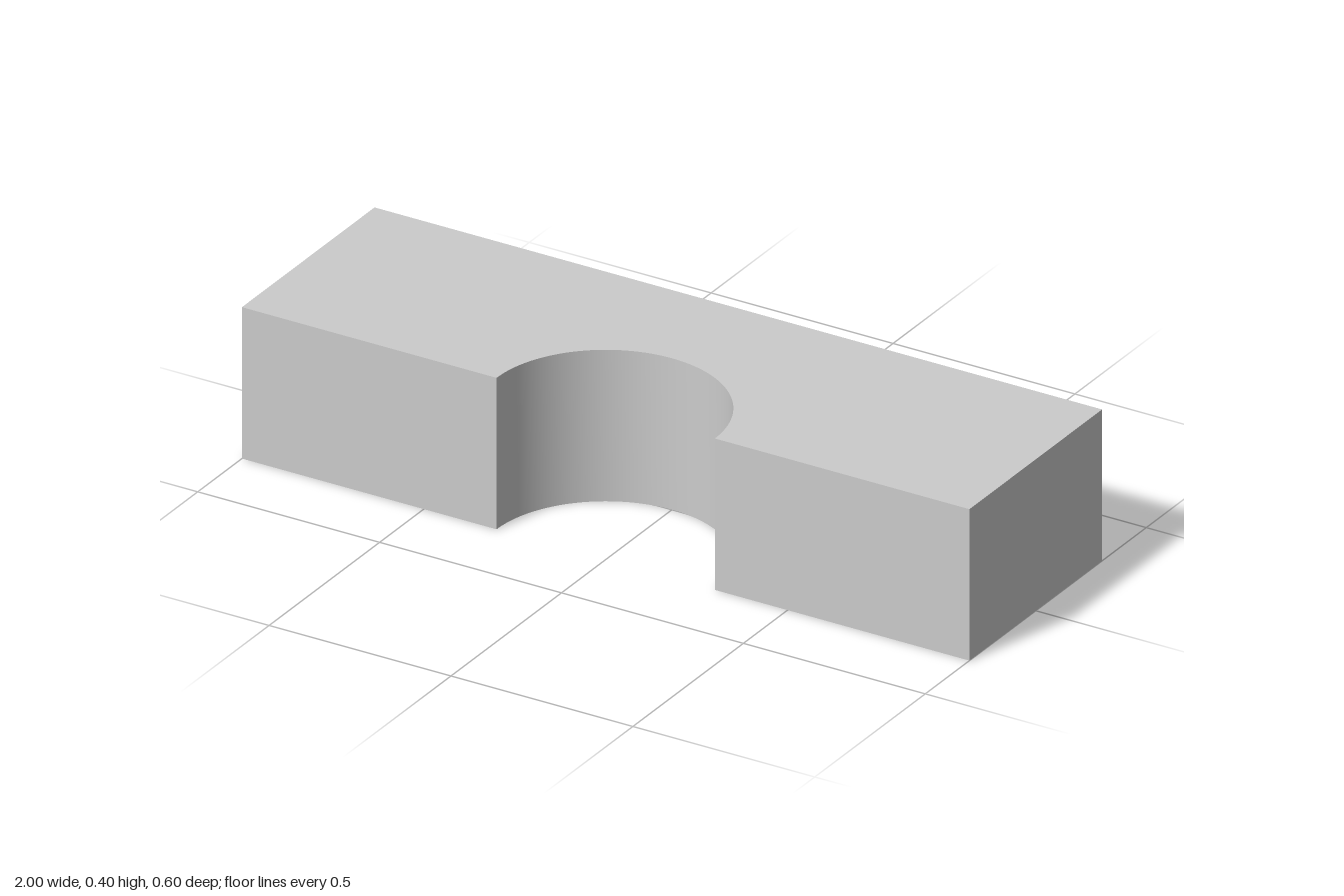
import * as THREE from 'three';
import { toCreasedNormals } from 'three/addons/utils/BufferGeometryUtils.js';

const LENGTH = 2, HEIGHT = 0.4, DEPTH = 0.6, NOTCH_RADIUS = 0.3;

export function createModel() {
  const group = new THREE.Group();
  group.name = 'notchedBlock';
  const x = LENGTH / 2, z = DEPTH / 2;

  // Plan outline: the half-round notch in the front edge, then the four corners
  const outline = new THREE.Shape();
  outline.absarc(0, -z, NOTCH_RADIUS, Math.PI, 0, true);
  outline.lineTo(x, -z);
  outline.lineTo(x, z);
  outline.lineTo(-x, z);
  outline.lineTo(-x, -z);

  // Extruded upwards, with the notch wall smooth and the edges sharp
  const extruded = new THREE.ExtrudeGeometry(outline, {
    depth: HEIGHT, bevelEnabled: false, curveSegments: 40,
  });
  extruded.rotateX(-Math.PI / 2);

  const block = new THREE.Mesh(
    toCreasedNormals(extruded, Math.PI / 6),
    new THREE.MeshStandardMaterial({ color: 0xcccccc }),
  );
  block.name = 'block';
  group.add(block);
  return group;
}
